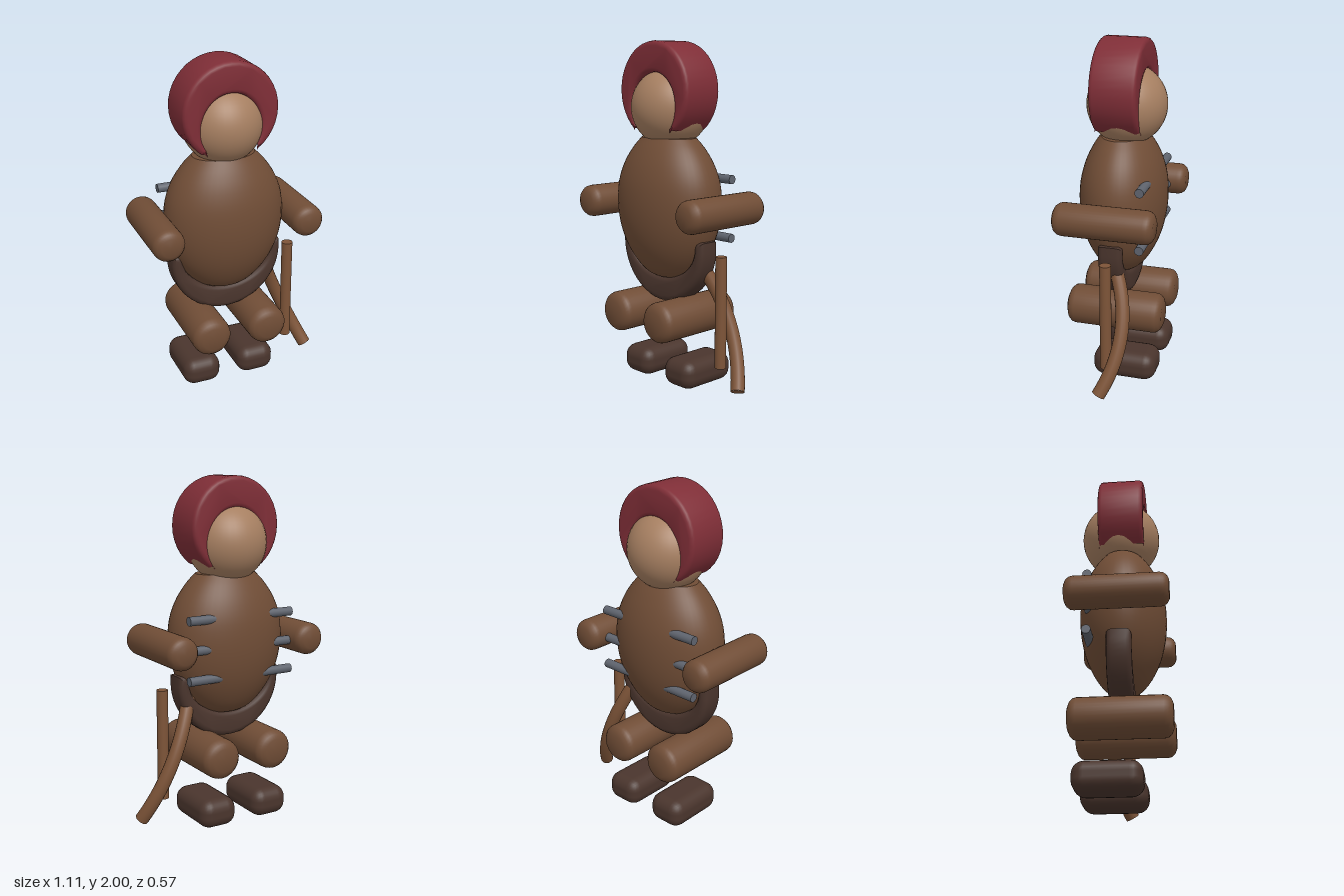
import * as THREE from 'three';
import { RoundedBoxGeometry } from 'three/addons/geometries/RoundedBoxGeometry.js';
import { toCreasedNormals } from 'three/addons/utils/BufferGeometryUtils.js';

const CX = -0.045; // body axis
const mat = (color) => new THREE.MeshStandardMaterial({ color });
const fur = mat(0x704d36), dark = mat(0x4a352d), skin = mat(0xa67f61);
const red = mat(0x7f2e37), steel = mat(0x5f646e), wood = mat(0x7d5438);

export function createModel() {
  const group = new THREE.Group();
  const add = (name, geometry, material, x, y, z) => {
    const mesh = new THREE.Mesh(geometry, material);
    mesh.name = name;
    mesh.position.set(x, y, z);
    group.add(mesh);
    return mesh;
  };
  const lathe = (points, segments) => new THREE.LatheGeometry(
    points.map(([x, y]) => new THREE.Vector2(x, y)), segments);

  // Limb lying along z with softly chamfered ends
  const limb = (r, half) => {
    const end = [[0, half], [r * 0.58, half], [r * 0.82, half - 0.012], [r * 0.96, half - 0.03], [r, half - 0.05]];
    const start = end.map(([x, y]) => [x, -y]);
    const g = lathe([...start, ...end.reverse()], 32);
    return toCreasedNormals(g.rotateX(Math.PI / 2), 0.6);
  };

  // Crescent between an outer circle and an offset inner ellipse, extruded along z.
  // "tip" is the angle of the tips below the horizontal.
  const crescent = (R, tip, innerR, innerRy, offset, depth, bevel) => {
    const outer = R - bevel, n = 32, shape = new THREE.Shape();
    for (let i = 0; i <= n; i++) {
      const a = -tip + (Math.PI + 2 * tip) * i / n;
      const x = outer * Math.cos(a), y = outer * Math.sin(a);
      if (i) shape.lineTo(x, y); else shape.moveTo(x, y);
    }
    const b = Math.min(tip * 0.85, 0.75);
    for (let i = n; i >= 0; i--) {
      const a = -b + (Math.PI + 2 * b) * i / n;
      shape.lineTo((innerR + bevel) * Math.cos(a), offset + (innerRy + bevel) * Math.sin(a));
    }
    const g = new THREE.ExtrudeGeometry(shape, {
      depth: depth - 2 * bevel, bevelEnabled: true, bevelSize: bevel, bevelThickness: bevel, bevelSegments: 3,
    });
    g.translate(0, 0, -depth / 2 + bevel);
    return toCreasedNormals(g, 0.6);
  };

  // Egg-shaped torso, flattened front to back
  const torso = new THREE.SplineCurve([
    [0, 0.62], [0.12, 0.645], [0.205, 0.705], [0.285, 0.81], [0.335, 0.93], [0.355, 1.06],
    [0.345, 1.19], [0.305, 1.3], [0.245, 1.39], [0.185, 1.452],
  ].map(([x, y]) => new THREE.Vector2(x, y))).getPoints(30).map((p) => [Math.max(p.x, 0), p.y]);
  const torsoGeometry = lathe([...torso, [0, 1.46]], 48);
  torsoGeometry.scale(1, 1, 0.705);
  add('torso', toCreasedNormals(torsoGeometry, 0.6), fur, CX, 0, 0);

  // Head and crescent hood
  add('head', new THREE.SphereGeometry(0.23, 40, 28), skin, CX, 1.625, -0.015);
  add('hood', crescent(0.28, 0.95, 0.175, 0.19, -0.085, 0.265, 0.025), red, CX, 1.72, 0);

  // Hanging crescent below the belly
  const apron = add('apron', crescent(0.337, 0.08, 0.27, 0.2, -0.01, 0.14, 0.03), dark, CX, 0.828, 0);
  apron.rotation.z = Math.PI;

  // Paired limbs and feet
  for (const [side, s] of [['left', 1], ['right', -1]]) {
    add(side + 'Arm', limb(0.094, 0.285), fur, CX + s * 0.419, 1.06, 0);
    add(side + 'Leg', limb(0.117, 0.285), fur, CX + s * 0.175, 0.425, 0);
    add(side + 'Foot', new RoundedBoxGeometry(0.232, 0.17, 0.38, 3, 0.07), dark, CX + s * 0.175, 0.09, -0.065);
  }

  // Rods passing across the back
  for (const y of [1.22, 1.05, 0.88]) {
    add('backRod', new THREE.CylinderGeometry(0.026, 0.026, 0.68, 20).rotateZ(Math.PI / 2), steel, CX, y, -0.175);
  }

  // Upright stick
  add('stick', new THREE.CylinderGeometry(0.033, 0.033, 0.645, 20), wood, 0.375, 0.487, -0.005);

  // Curved tail with closed end
  const path = new THREE.QuadraticBezierCurve3(
    new THREE.Vector3(0.2, 0.76, 0), new THREE.Vector3(0.36, 0.41, -0.19), new THREE.Vector3(0.515, 0.06, 0));
  add('tail', new THREE.TubeGeometry(path, 24, 0.04, 16), wood, 0, 0, 0);
  const cap = add('tailEnd', new THREE.CircleGeometry(0.04, 16), wood, 0.515, 0.06, 0);
  cap.quaternion.setFromUnitVectors(new THREE.Vector3(0, 0, 1), path.getTangent(1));

  return group;
}
